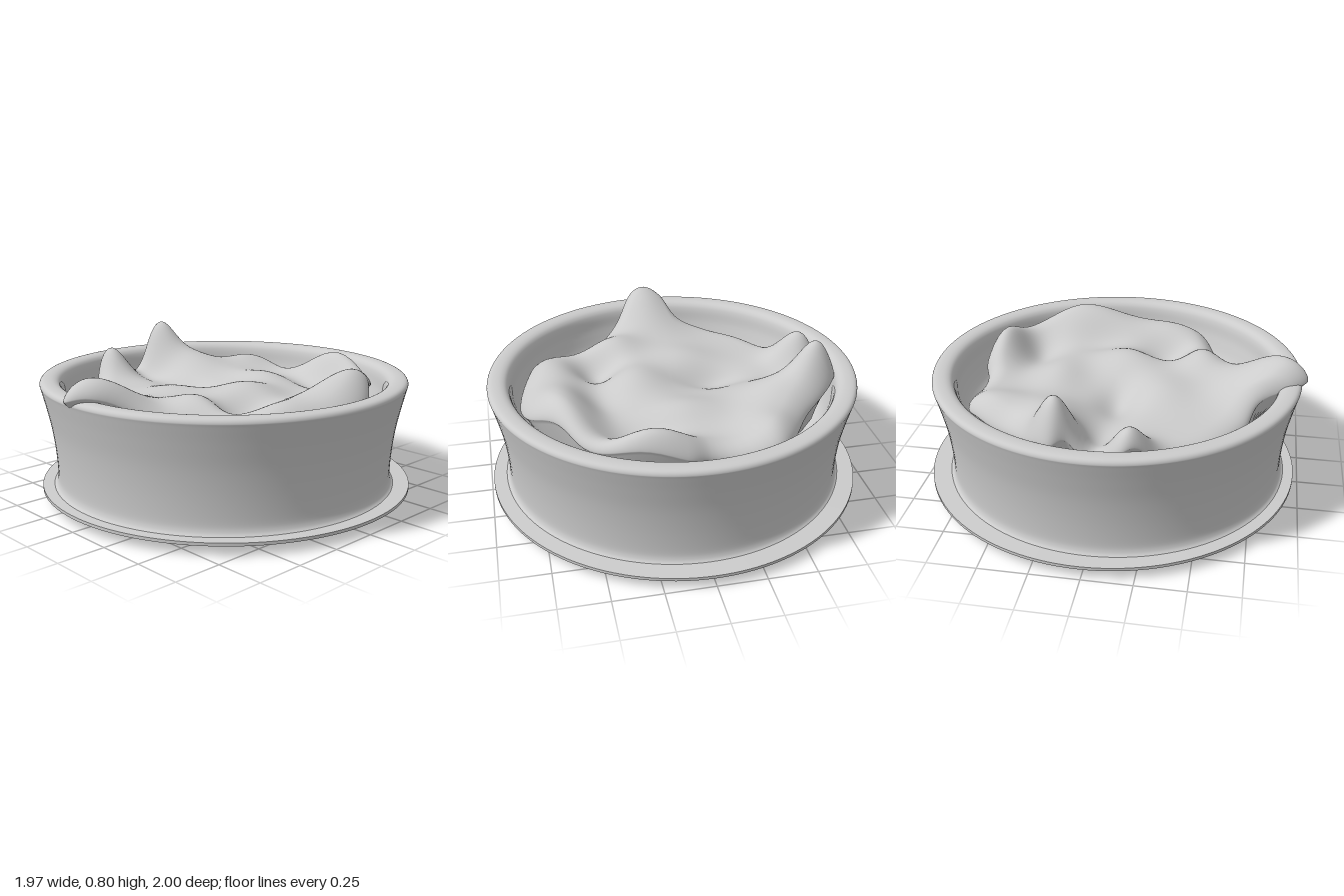
import * as THREE from 'three';
import { toCreasedNormals } from 'three/addons/utils/BufferGeometryUtils.js';

const material = new THREE.MeshStandardMaterial({ color: 0xcccccc, side: THREE.DoubleSide });

// Revolved part from [radius, y] pairs, smoothed by a spline when samples are given
function turned(name, centreZ, pairs, samples = 0) {
  let pts = pairs.map(([r, y]) => new THREE.Vector2(r, y));
  if (samples) pts = new THREE.SplineCurve(pts).getPoints(samples);
  pts.forEach(p => { p.x = Math.max(0, p.x); });
  let geo = new THREE.LatheGeometry(pts, 128);
  if (!samples) geo = toCreasedNormals(geo, 0.6);
  const mesh = new THREE.Mesh(geo, material);
  mesh.name = name;
  mesh.position.z = centreZ;
  return mesh;
}

// Cushion outline seen from above, [x, z], going round from the +x side
const OUTLINE = [
  [0.81, -0.08], [0.80, 0.08], [0.76, 0.24], [0.70, 0.40], [0.56, 0.50], [0.35, 0.61],
  [0.19, 0.74], [0.07, 0.93], [-0.02, 0.998], [-0.10, 0.93], [-0.17, 0.76], [-0.32, 0.70],
  [-0.50, 0.58], [-0.63, 0.40], [-0.77, 0.25], [-0.82, 0.16], [-0.79, 0.05], [-0.78, -0.08],
  [-0.83, -0.17], [-0.79, -0.25], [-0.61, -0.40], [-0.47, -0.61], [-0.37, -0.70],
  [-0.05, -0.69], [0.08, -0.73], [0.35, -0.69], [0.53, -0.58], [0.64, -0.42], [0.77, -0.24],
];

// Folds and hollows: x, z, height, width in x, width in z
const FOLDS = [
  [-0.73, -0.16, 0.22, 0.09, 0.08], [-0.55, -0.23, 0.11, 0.17, 0.12],
  [-0.76, 0.19, 0.17, 0.10, 0.08], [-0.6, 0.02, -0.04, 0.12, 0.07],
  [0.02, 0.88, 0.205, 0.17, 0.21], [0.28, 0.44, 0.09, 0.13, 0.1],
  [0.62, -0.3, 0.17, 0.14, 0.26], [0.24, -0.66, 0.165, 0.17, 0.09],
  [-0.38, -0.55, 0.07, 0.11, 0.14], [0, -0.3, 0.06, 0.16, 0.1],
  [0.27, -0.48, -0.05, 0.13, 0.08], [0.2, 0.04, 0.085, 0.14, 0.15],
  [0.38, 0.23, -0.09, 0.08, 0.1], [0.42, -0.14, -0.04, 0.08, 0.14],
  [0.62, 0.25, 0.06, 0.12, 0.14], [-0.22, 0.05, -0.06, 0.12, 0.07],
  [0.5, 0.58, -0.1, 0.14, 0.08], [-0.1, 0.27, 0.05, 0.14, 0.12],
];

const cushionHeight = (x, z) => FOLDS.reduce((y, [fx, fz, h, sx, sz]) =>
  y + h * Math.exp(-0.5 * (((x - fx) / sx) ** 2 + ((z - fz) / sz) ** 2)), 0.53);

// Draped cushion: rings from the centre out to the outline, then tucked under
function cushion() {
  const SEG = 180, RINGS = 48;
  const edge = new THREE.CatmullRomCurve3(
    OUTLINE.map(([x, z]) => new THREE.Vector3(x, 0, z)), true, 'centripetal').getPoints(SEG);
  const pos = [0, cushionHeight(0, 0), 0], index = [];
  for (let i = 1; i <= RINGS + 3; i++) {
    const t = Math.sin(Math.min(i / RINGS, 1) * Math.PI / 2);
    const e = Math.max(0, (t - 0.85) / 0.15);
    const drop = 0.07 * (1 - Math.sqrt(Math.max(0, 1 - e * e)));
    const under = Math.max(0, i - RINGS);
    for (let j = 0; j < SEG; j++) {
      const p = edge[j], R = Math.hypot(p.x, p.z);
      const x = p.x * t, z = p.z * t, top = cushionHeight(x, z) - drop;
      // the tucked side curls in towards the bowl floor
      const tuck = Math.min(0.93, 0.74 / R);
      const s = [1, 0.975, tuck, tuck * 0.93][under];
      const y = [top, top - 0.025, 0.4, 0.31][under];
      pos.push(x * s, y, z * s);
    }
  }
  for (let j = 0; j < SEG; j++) {
    const k = (j + 1) % SEG;
    index.push(0, 1 + k, 1 + j);
    for (let i = 0; i < RINGS + 2; i++) {
      const a = 1 + i * SEG, b = a + SEG;
      index.push(a + j, a + k, b + j, a + k, b + k, b + j);
    }
  }
  const geo = new THREE.BufferGeometry();
  geo.setAttribute('position', new THREE.Float32BufferAttribute(pos, 3));
  geo.setIndex(index);
  geo.computeVertexNormals();
  const mesh = new THREE.Mesh(geo, material);
  mesh.name = 'cushion';
  return mesh;
}

export function createModel() {
  const group = new THREE.Group();
  group.name = 'roundBed';

  // Flared wall with a rounded rim, its inner side curving into the bowl floor
  const wall = turned('wall', 0.006, [
    [0.915, 0.066], [0.898, 0.085], [0.891, 0.13], [0.897, 0.25], [0.913, 0.38], [0.938, 0.5],
    [0.96, 0.59], [0.965, 0.613], [0.953, 0.63], [0.925, 0.636], [0.89, 0.633],
    [0.865, 0.618], [0.85, 0.585], [0.835, 0.5], [0.785, 0.38], [0.66, 0.31], [0.4, 0.285], [0, 0.28],
  ], 90);
  wall.position.x = 0.005;
  group.add(wall);

  // Thin foot flange and the inner side of the hollow foot
  group.add(turned('footFlange', -0.014, [
    [0.835, 0.217], [0.86, 0.13], [0.88, 0.05], [0.987, 0.05], [0.987, 0.066], [0.885, 0.07],
  ]));

  // Bulging underside
  const bulge = [];
  for (let i = 0; i <= 20; i++) {
    const r = 0.835 * i / 20;
    bulge.push([r, 0.312 * r * r]);
  }
  group.add(turned('underside', -0.014, bulge));

  group.add(cushion());
  return group;
}
